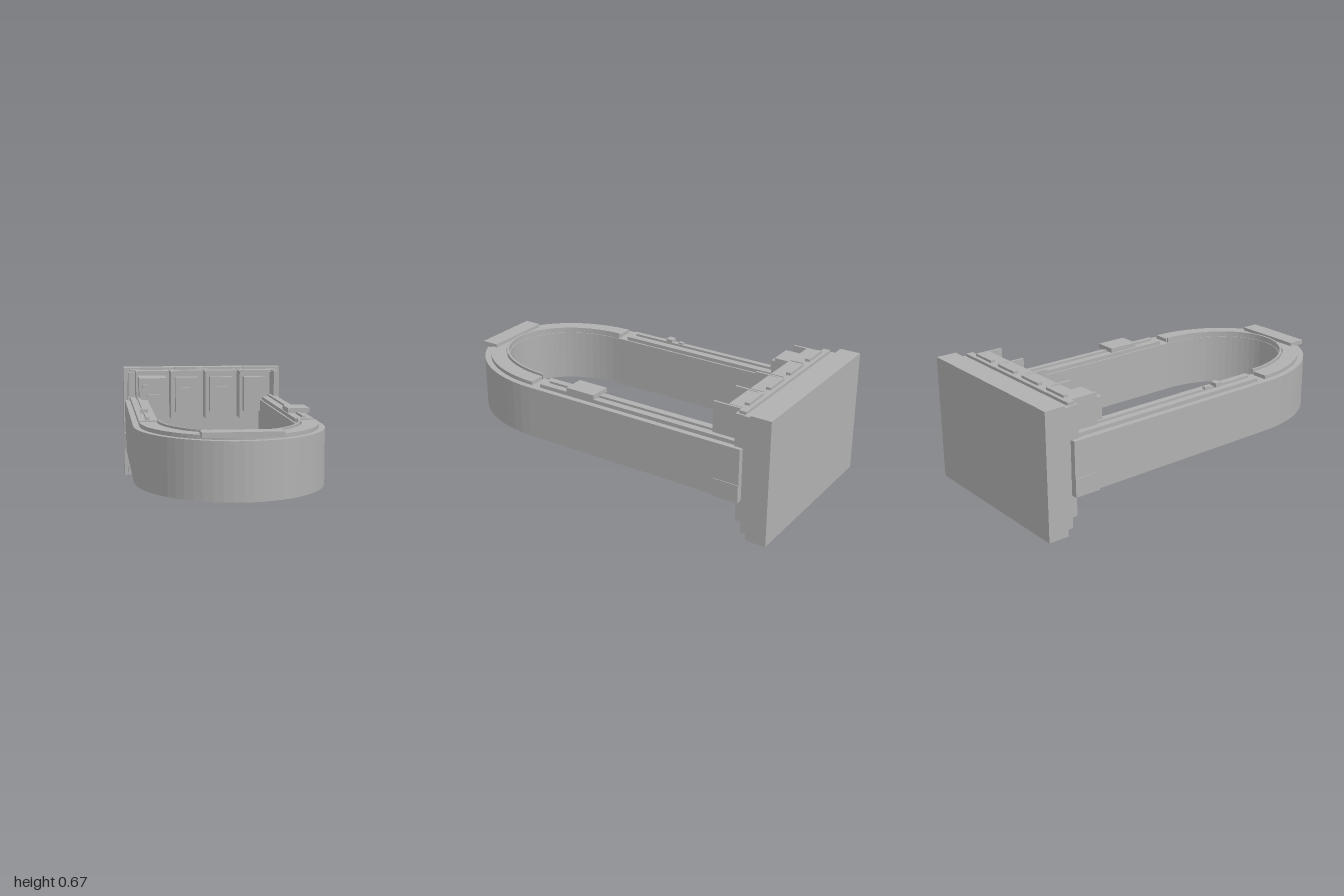
import * as THREE from 'three';

const grey = new THREE.MeshStandardMaterial({ color: 0xb0b0b0 });
grey.name = 'plain grey';

export function createModel() {
  const model = new THREE.Group();
  model.name = 'wallMountedTrack';

  const add = (name, geometry, parent = model) => {
    const mesh = new THREE.Mesh(geometry, grey);
    mesh.name = name;
    parent.add(mesh);
    return mesh;
  };

  // Box given by its limits on each axis
  const box = (name, x0, x1, y0, y1, z0, z1, parent) => {
    const mesh = add(name, new THREE.BoxGeometry(x1 - x0, y1 - y0, z1 - z0), parent);
    mesh.position.set((x0 + x1) / 2, (y0 + y1) / 2, (z0 + z1) / 2);
    return mesh;
  };

  // Half-elliptic band around the front bend, with straight legs back to zBack
  const bendZ = 0.42;
  const band = (name, outer, inner, y0, y1, zBack = bendZ) => {
    const n = 32;
    const points = [];
    const arc = ([rx, rz], reverse) => {
      const part = [];
      if (zBack < bendZ) part.push(new THREE.Vector2(-rx, -zBack));
      for (let i = 0; i <= n; i++) {
        const a = Math.PI * (1 + i / n);
        part.push(new THREE.Vector2(rx * Math.cos(a), -bendZ + rz * Math.sin(a)));
      }
      if (zBack < bendZ) part.push(new THREE.Vector2(rx, -zBack));
      points.push(...(reverse ? part.reverse() : part));
    };
    arc(outer, false);
    arc(inner, true);
    const g = new THREE.ExtrudeGeometry(new THREE.Shape(points), { depth: y1 - y0, bevelEnabled: false });
    g.rotateX(-Math.PI / 2);
    g.translate(0, y0, 0);
    return add(name, g);
  };

  // Stepped back plate
  box('backPlate', -0.48, 0.48, 0, 0.66, -1, -0.89);
  box('middlePlate', -0.46, 0.46, 0.022, 0.64, -0.89, -0.85);
  box('frontPlate', -0.445, 0.445, 0.07, 0.655, -0.85, -0.812);

  // Main loop with its raised front ring and inner lip
  band('loopBody', [0.475, 0.58], [0.34, 0.44], 0.19, 0.47, -0.84);
  band('frontRing', [0.445, 0.545], [0.36, 0.462], 0.47, 0.49);
  band('innerLip', [0.354, 0.455], [0.344, 0.444], 0.47, 0.5);
  box('frontBadge', -0.19, 0.19, 0.483, 0.508, 0.88, 0.975);

  // Details mirrored on both legs
  for (const side of [-1, 1]) {
    const leg = new THREE.Group();
    leg.name = side > 0 ? 'leftLegDetails' : 'rightLegDetails';
    model.add(leg);
    const mirrored = (name, a, b, ...rest) =>
      box(name, Math.min(side * a, side * b), Math.max(side * a, side * b), ...rest, leg);
    mirrored('topRail', 0.35, 0.445, 0.47, 0.49, -0.812, 0.365);
    mirrored('railStrip', 0.39, 0.408, 0.49, 0.502, -0.78, 0.33);
    mirrored('legBracket', 0.332, 0.479, 0.185, 0.28, -0.84, -0.7);
    mirrored('undersidePlate', 0.335, 0.45, 0.181, 0.19, -0.75, -0.62);
    mirrored('endPost', 0.415, 0.455, 0.47, 0.64, -0.85, -0.8);
    for (const z of [-0.28, -0.4, -0.52]) mirrored('undersideRung', 0.37, 0.44, 0.17, 0.19, z - 0.006, z + 0.006);
    mirrored('undersideBlock', 0.37, 0.44, 0.17, 0.181, -0.75, -0.66);
  }

  // Small pieces on the rails
  box('sliderBlock', 0.345, 0.46, 0.497, 0.522, 0.01, 0.18);
  box('latchFront', -0.427, -0.386, 0.498, 0.52, 0.085, 0.122);
  box('latchBack', -0.415, -0.395, 0.495, 0.512, 0.02, 0.048);

  // Row of four bays
  for (let i = 0; i < 5; i++) {
    const x = -0.408 + i * 0.2055;
    box('divider', x - 0.006, x + 0.006, 0.37, 0.652, -0.812, -0.66);
  }
  for (let i = 0; i < 4; i++) {
    const x = -0.313 + i * 0.2075;
    box('topTab', x - 0.07, x + 0.07, 0.652, 0.668, -0.83, -0.805);
    box('bayLedge', x - 0.09, x + 0.095, 0.64, 0.652, -0.812, -0.735);
    if (i > 0) {
      box('bayPanel', x - 0.068, x + 0.068, 0.4, 0.61, -0.812, -0.75);
      box('bayButton', x - 0.033, x + 0.033, 0.49, 0.552, -0.75, -0.737);
    }
  }

  // Block with a simple face in the first bay
  const head = new THREE.Group();
  head.name = 'faceBlock';
  model.add(head);
  box('headBlock', -0.398, -0.235, 0.41, 0.618, -0.812, -0.62, head);
  for (const x of [-0.365, -0.267]) box('eye', x - 0.0125, x + 0.0125, 0.559, 0.584, -0.62, -0.605, head);
  box('mouth', -0.352, -0.282, 0.51, 0.522, -0.62, -0.597, head);

  return model;
}
